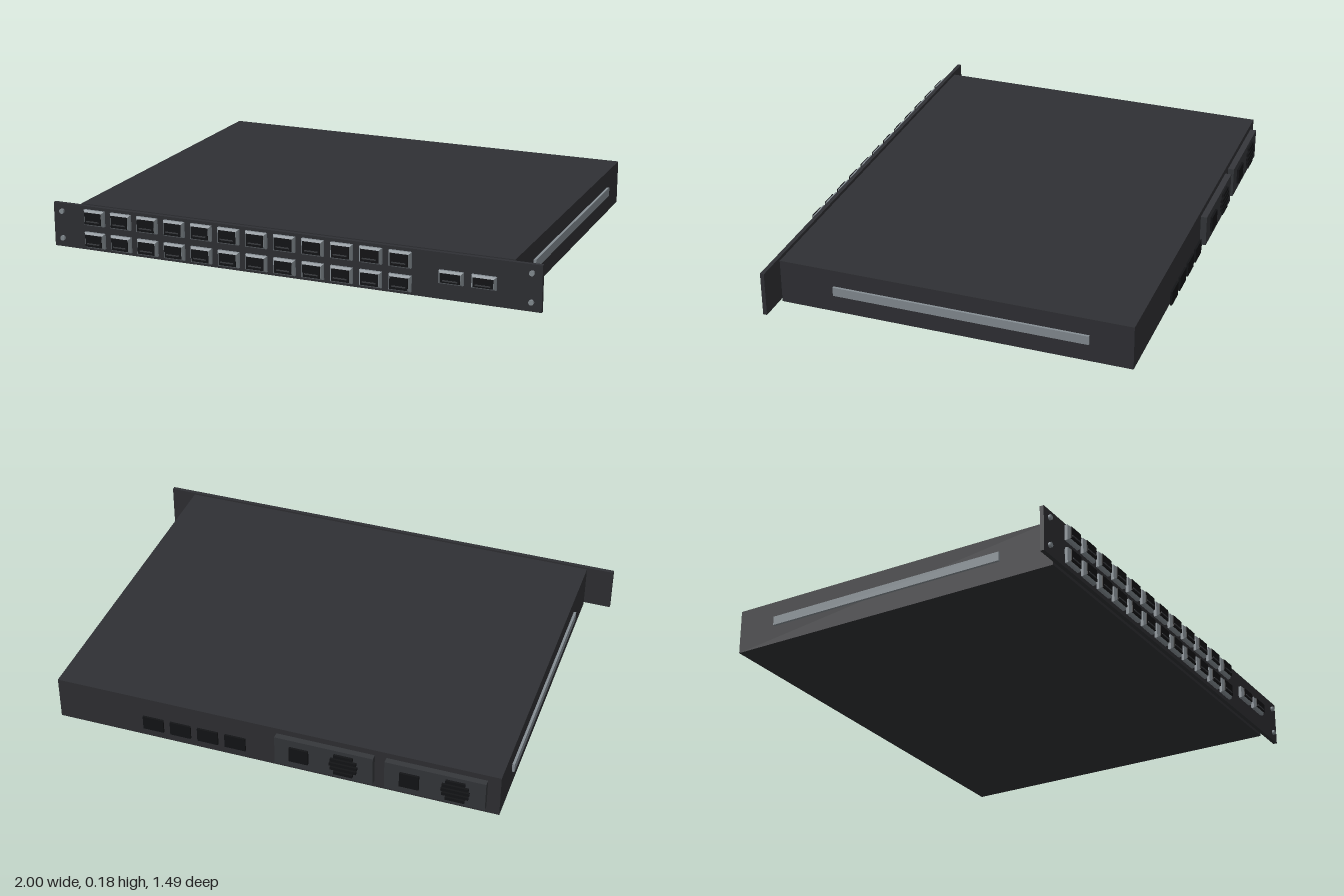
import * as THREE from 'three';

const mat = (color) => new THREE.MeshStandardMaterial({ color });
const charcoal = mat(0x2f3034);
const moduleGrey = mat(0x35373b);
const steel = mat(0x858d93);
const black = mat(0x131416);
const slate = mat(0x3a3c40);

export function createModel() {
  const model = new THREE.Group();

  const add = (parent, name, geometry, material, x, y, z) => {
    const mesh = new THREE.Mesh(geometry, material);
    mesh.name = name;
    mesh.position.set(x, y, z);
    parent.add(mesh);
    return mesh;
  };
  const box = (parent, name, material, w, h, d, x, y, z) =>
    add(parent, name, new THREE.BoxGeometry(w, h, d), material, x, y, z);

  // Chassis and the slightly detached rack face plate
  box(model, 'chassis', charcoal, 1.78, 0.178, 1.396, 0, 0.089, -0.011);
  box(model, 'facePlate', charcoal, 2, 0.178, 0.016, 0, 0.089, 0.706);

  // Side rails and face plate screws
  for (const side of [-1, 1]) {
    box(model, 'sideRail', steel, 0.012, 0.036, 1.01, side * 0.894, 0.092, -0.037);
    for (const y of [0.036, 0.146]) {
      const screw = add(model, 'screw', new THREE.CylinderGeometry(0.01, 0.01, 0.012, 12), steel, side * 0.962, y, 0.718);
      screw.rotation.x = Math.PI / 2;
    }
  }

  // A port: chamfered steel surround, dark insert and a contact strip
  const addPort = (name, w, h, x, y) => {
    const port = new THREE.Group();
    port.name = name;
    port.position.set(x, y, 0.712);
    const b = 0.008;
    const a = w / 2 - b, c = h / 2 - b;
    const outline = new THREE.Shape([
      new THREE.Vector2(-a, -c), new THREE.Vector2(a, -c),
      new THREE.Vector2(a, c), new THREE.Vector2(-a, c),
    ]);
    const surround = new THREE.ExtrudeGeometry(outline, {
      depth: 0.01, bevelEnabled: true, bevelSize: b, bevelThickness: b, bevelSegments: 1,
    });
    add(port, 'portSurround', surround, steel, 0, 0, 0.006);
    box(port, 'portOpening', black, w - 0.017, h - 0.015, 0.012, 0, 0, 0.022);
    box(port, 'portContacts', slate, w * 0.62, 0.005, 0.004, 0, -h * 0.18, 0.028);
    model.add(port);
  };

  // Two rows of twelve network ports, then two uplink ports
  for (let i = 0; i < 12; i++) {
    for (const y of [0.045, 0.136]) addPort('networkPort', 0.088, 0.062, -0.813 + i * 0.116, y);
  }
  for (const x of [0.661, 0.786]) addPort('uplinkPort', 0.094, 0.05, x, 0.09);

  // Rear power modules, each with a socket and a slatted round fan vent
  for (const x of [-0.645, -0.21]) {
    const power = new THREE.Group();
    power.name = 'powerModule';
    power.position.set(x, 0.092, -0.72);
    box(power, 'powerHousing', moduleGrey, 0.39, 0.125, 0.028, 0, 0, 0);
    box(power, 'powerSocket', black, 0.076, 0.064, 0.01, 0.097, 0, -0.018);
    const radius = 0.055;
    for (let i = -2; i <= 2; i++) {
      const y = i * 0.02;
      const length = 2 * Math.sqrt(radius * radius - y * y);
      box(power, 'fanSlat', black, length, 0.013, 0.01, -0.08, y, -0.018);
    }
    model.add(power);
  }

  // Rear management ports standing just clear of the chassis
  for (let i = 0; i < 4; i++) {
    box(model, 'managementPort', black, 0.084, 0.058, 0.008, 0.142 + i * 0.112, 0.09, -0.741);
  }

  return model;
}
